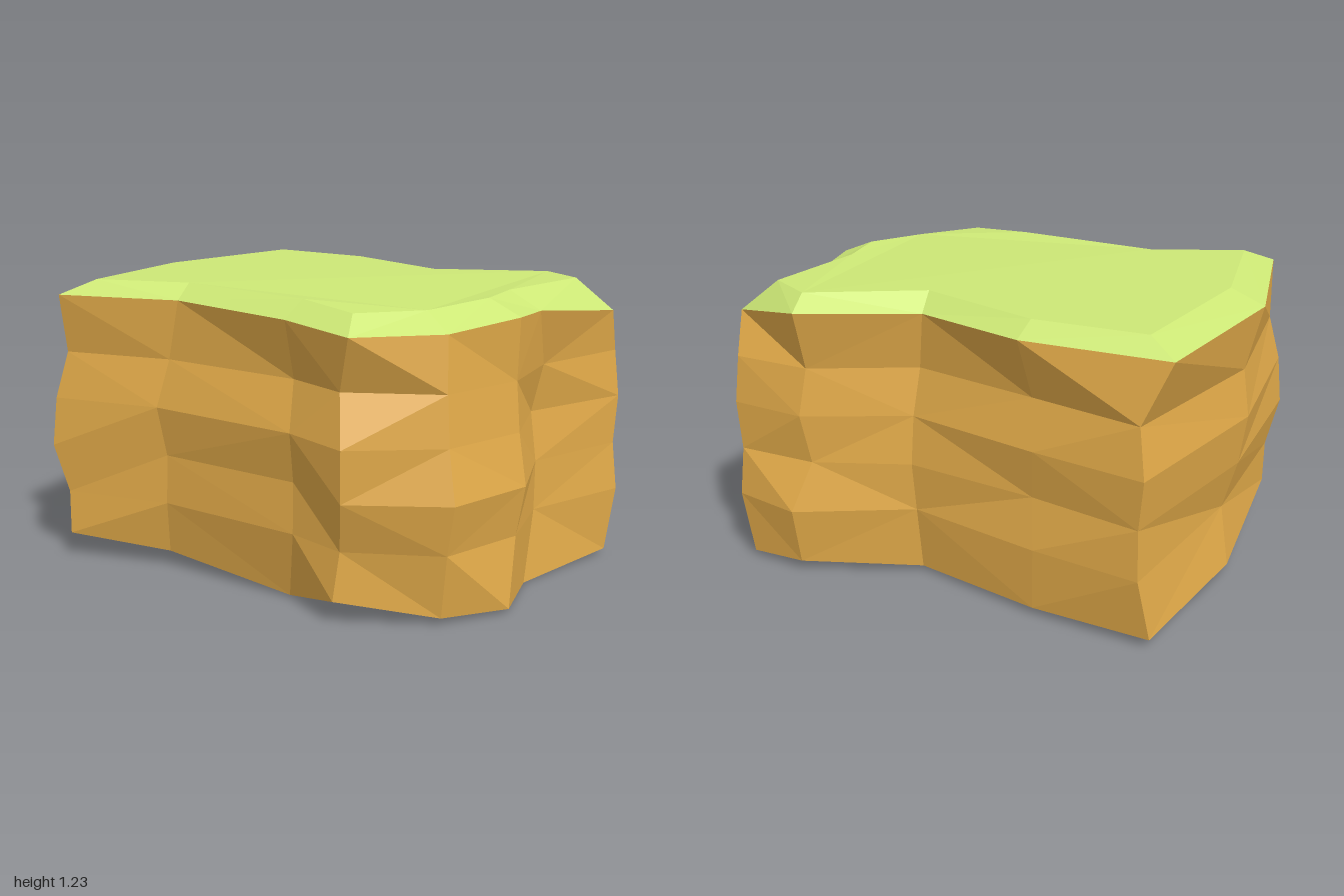
import * as THREE from 'three';

// Grass rim and foot outlines, [x, y, z] anticlockwise seen from above
const rim = [
  [-0.85, 1.17, 0.78], [-0.35, 1.17, 0.59], [0.24, 1.16, 0.63], [0.58, 1.14, 0.69],
  [0.83, 1.14, 0.42], [0.95, 1.17, 0.1], [0.91, 1.16, -0.13], [0.98, 1.1, -0.64],
  [0.63, 1.17, -0.78], [0.19, 1.16, -0.54], [-0.29, 1.17, -0.69], [-0.89, 1.17, -0.67], [-1, 1.17, 0.09],
];
const foot = [
  [-0.88, 0.11, 0.755], [-0.45, 0.07, 0.58], [0.18, 0.01, 0.54], [0.49, 0.1, 0.665],
  [0.82, 0.03, 0.41], [0.97, 0.02, 0.15], [0.86, 0, -0.17], [0.97, 0.02, -0.7],
  [0.7, 0.05, -0.74], [0.24, 0.02, -0.51], [-0.33, 0.03, -0.64], [-0.84, 0.04, -0.68], [-0.94, 0.05, 0],
];
// Rock columns in the same order: line [x, z], and how far each layer
// swells away from the middle (percent)
const columns = [
  { line: [-0.9, 0.765], bulge: [-2, 3, 1, -4] },
  { line: [-0.42, 0.61], bulge: [1, 0, 5, -3] },
  { line: [0.24, 0.59], bulge: [1, -1, 6, -4] },
  { line: [0.53, 0.67], bulge: [-4, 4, 5, -5] },
  { line: [0.86, 0.44], bulge: [0, 5, 0, -2] },
  { line: [0.95, 0.08], bulge: [0, 4, 0, -2] },
  { line: [0.85, -0.25], bulge: [0, 0, -3, 2] },
  { line: [0.98, -0.71], bulge: [2, 0, 1, -1] },
  { line: [0.66, -0.74], bulge: [6, -4, 0, -4] },
  { line: [0.24, -0.53], bulge: [2, 5, 2, -5] },
  { line: [-0.33, -0.64], bulge: [3, -3, 3, -5] },
  { line: [-0.79, -0.71], bulge: [1, 0, 3, -1] },
  { line: [-0.95, 0.03], bulge: [-6, 0, 3, 0] },
];
const heights = [0.3, 0.51, 0.72, 0.92];
const count = columns.length;

// Outward normal of the edge from a to b, seen from above
const edgeNormal = (a, b) => new THREE.Vector2(a[2] - b[2], b[0] - a[0]).normalize();

// Mitre direction at point i of a closed ring, for an even inset
function mitre(ring, i) {
  const before = edgeNormal(ring[(i + count - 1) % count], ring[i]);
  const after = edgeNormal(ring[i], ring[(i + 1) % count]);
  return before.clone().add(after).divideScalar(1 + before.dot(after));
}

// Flat-shaded skin between stacked rings, optionally closed below or above
function skin(name, rings, color, closeBottom, closeTop) {
  const points = rings.flat().map((p) => new THREE.Vector3(...p));
  const index = [];
  for (let r = 0; r < rings.length - 1; r++) {
    for (let i = 0; i < count; i++) {
      const a = r * count + i, b = r * count + (i + 1) % count;
      const c = b + count, d = a + count;
      // Split each quad along its shorter diagonal
      if (points[a].distanceTo(points[c]) < points[b].distanceTo(points[d])) index.push(a, b, c, a, c, d);
      else index.push(a, b, d, b, c, d);
    }
  }
  const fill = (r, flip) => {
    const flat = rings[r].map((p) => new THREE.Vector2(p[0], -p[2]));
    for (const [a, b, c] of THREE.ShapeUtils.triangulateShape(flat, [])) {
      const face = flip ? [a, c, b] : [a, b, c];
      index.push(...face.map((k) => k + r * count));
    }
  };
  if (closeBottom) fill(0, true);
  if (closeTop) fill(rings.length - 1, false);

  const indexed = new THREE.BufferGeometry().setFromPoints(points);
  indexed.setIndex(index);
  const geometry = indexed.toNonIndexed();
  geometry.computeVertexNormals();
  const mesh = new THREE.Mesh(geometry, new THREE.MeshStandardMaterial({ color, flatShading: true }));
  mesh.name = name;
  return mesh;
}

export function createModel() {
  const group = new THREE.Group();
  group.name = 'grassyCliffBlock';

  // Earth body: swelling rock layers between the foot and the grass rim
  const layers = heights.map((y, level) => columns.map(({ line, bulge }) => {
    const s = 1 + bulge[level] / 100;
    return [line[0] * s, y, line[1] * s];
  }));
  group.add(skin('earthBody', [foot, ...layers, rim], 0xe4ac4a, true, false));

  // Grass cap: bevelled edge and a top that dips where the rim is low
  const top = rim.map((p, i) => {
    const m = mitre(rim, i);
    const depth = p[2] > 0 ? 0.09 : 0.08;
    return [p[0] - 0.14 * m.x, p[1] === 1.14 ? 1.21 : 1.23, p[2] - depth * m.y];
  });
  group.add(skin('grassCap', [rim, top], 0xcde876, false, true));

  return group;
}
